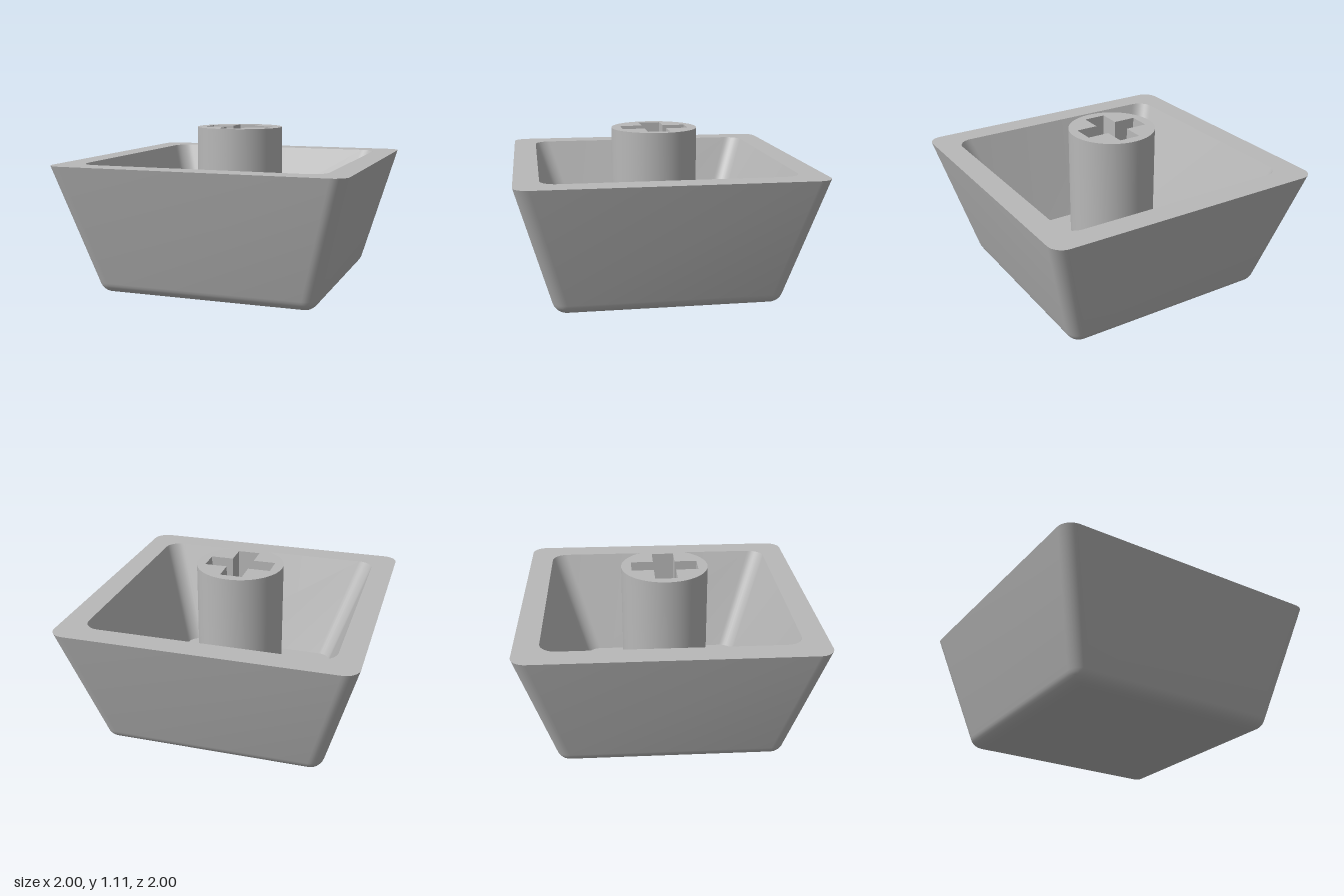
import * as THREE from 'three';
import { toCreasedNormals } from 'three/addons/utils/BufferGeometryUtils.js';

const CORNER_STEPS = 8;

// Points of a rounded square at height y, running round from +x towards +z
function ring(half, radius, y) {
  const points = [];
  for (let q = 0; q < 4; q++) {
    const mid = (q + 0.5) * Math.PI / 2;
    const cx = Math.sign(Math.cos(mid)) * (half - radius);
    const cz = Math.sign(Math.sin(mid)) * (half - radius);
    for (let s = 0; s <= CORNER_STEPS; s++) {
      const a = (q + s / CORNER_STEPS) * Math.PI / 2;
      points.push([cx + radius * Math.cos(a), y, cz + radius * Math.sin(a)]);
    }
  }
  return points;
}

// Skin a list of [half, radius, y] sections
function loft(sections) {
  const rings = sections.map((s) => ring(...s));
  const n = rings[0].length;
  const index = [];
  for (let i = 0; i < rings.length - 1; i++) {
    for (let j = 0; j < n; j++) {
      const a = i * n + j, b = i * n + (j + 1) % n;
      index.push(a, a + n, b, b, a + n, b + n);
    }
  }
  const geometry = new THREE.BufferGeometry();
  geometry.setAttribute('position', new THREE.Float32BufferAttribute(rings.flat(2), 3));
  geometry.setIndex(index);
  return toCreasedNormals(geometry, Math.PI / 6);
}

export function createModel() {
  const group = new THREE.Group();
  const plastic = new THREE.MeshStandardMaterial({ color: 0xb8b8b8 });
  const rimY = 0.89, floorY = 0.17, topY = 1.11;

  // Hollow tapered shell: closed underside, rounded edge, outer wall, rim, inner wall, floor
  const r = 0.1, core = 0.68, tilt = Math.atan(0.273);
  const sections = [[0, 0, 0]];
  for (let i = 0; i <= 7; i++) {
    const a = Math.PI / 2 + (tilt - Math.PI / 2) * i / 7;
    const out = Math.max(r * Math.cos(a), 0.002);
    sections.push([core + out, out, r - r * Math.sin(a)]);
  }
  sections.push([1, 0.1, rimY], [0.835, 0.11, rimY], [0.583, 0.1, floorY], [0, 0, floorY]);
  const shell = new THREE.Mesh(loft(sections), plastic);
  shell.name = 'shell';
  group.add(shell);

  // Round stem with a cross-shaped socket
  const outline = new THREE.Shape().absarc(0, 0, 0.304, 0, Math.PI * 2, false);
  const l = 0.233, w = 0.077;
  const cross = [[l, -w], [l, w], [w, w], [w, l], [-w, l], [-w, w],
    [-l, w], [-l, -w], [-w, -w], [-w, -l], [w, -l], [w, -w]];
  outline.holes.push(new THREE.Path(cross.map(([x, y]) => new THREE.Vector2(x, y))));
  const stemGeometry = new THREE.ExtrudeGeometry(outline, {
    depth: topY - floorY, bevelEnabled: false, curveSegments: 48,
  });
  stemGeometry.rotateX(-Math.PI / 2);
  const stem = new THREE.Mesh(toCreasedNormals(stemGeometry, Math.PI / 6), plastic);
  stem.name = 'stem';
  stem.position.y = floorY;
  group.add(stem);

  return group;
}
